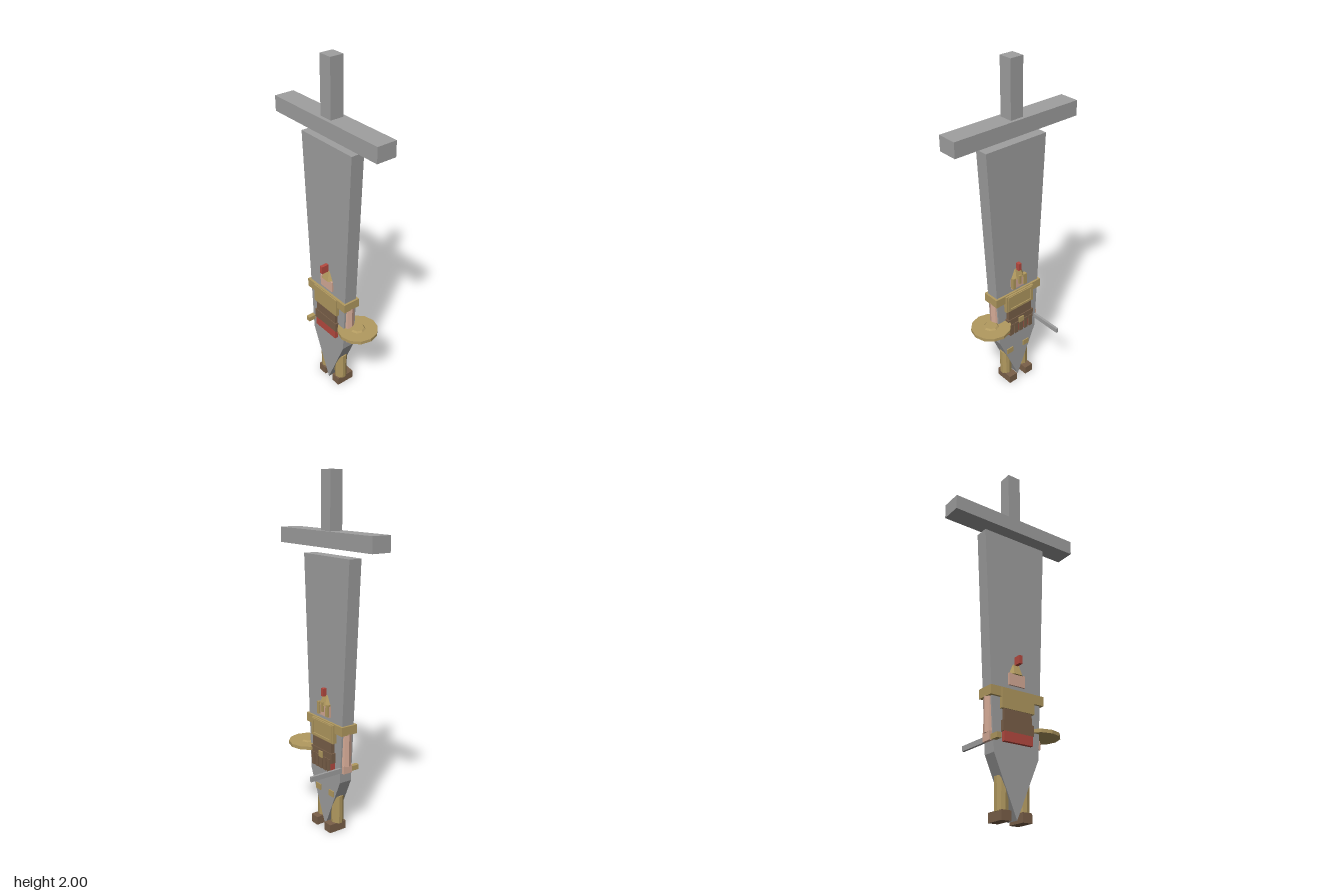
import * as THREE from 'three';

const mat = (name, color) => {
  const m = new THREE.MeshStandardMaterial({ color });
  m.name = name;
  m.flatShading = true;
  return m;
};

export function createModel() {
  const steel = mat('steel', 0xa0a0a0);
  const bronze = mat('bronze', 0xb29a60);
  const leather = mat('leather', 0x7a6049);
  const red = mat('red cloth', 0xb64a40);
  const skin = mat('skin', 0xd6ab97);

  const model = new THREE.Group();
  model.name = 'swordAndSoldier';

  const add = (name, geometry, material, parent = model) => {
    const mesh = new THREE.Mesh(geometry, material);
    mesh.name = name;
    parent.add(mesh);
    return mesh;
  };
  // Box given by its minimum and maximum corners
  const box = (name, material, x0, x1, y0, y1, z0, z1, parent = model) => {
    const mesh = add(name, new THREE.BoxGeometry(x1 - x0, y1 - y0, z1 - z0), material, parent);
    mesh.position.set((x0 + x1) / 2, (y0 + y1) / 2, (z0 + z1) / 2);
    return mesh;
  };
  const tube = (name, material, x, y0, y1, z, rTop, rBottom, sides, parent = model) => {
    const mesh = add(name, new THREE.CylinderGeometry(rTop, rBottom, y1 - y0, sides), material, parent);
    mesh.position.set(x, (y0 + y1) / 2, z);
    return mesh;
  };
  const group = (name) => {
    const g = new THREE.Group();
    g.name = name;
    model.add(g);
    return g;
  };

  // Giant sword standing on its tip
  const sword = group('giantSword');
  const outline = new THREE.Shape([
    [0, 0.01], [0.135, 0.32], [0.2, 1.56], [-0.2, 1.56], [-0.135, 0.32],
  ].map(([x, y]) => new THREE.Vector2(x, y)));
  const blade = add('giantBlade', new THREE.ExtrudeGeometry(outline, { depth: 0.078, bevelEnabled: false }), steel, sword);
  blade.position.z = 0.032;
  box('giantGuard', steel, -0.4, 0.4, 1.605, 1.69, 0.012, 0.128, sword);
  box('giantHandle', steel, -0.04, 0.04, 1.69, 2, 0.03, 0.108, sword);

  // Soldier, facing -z: torso and armour
  const torso = group('torso');
  box('tunic', leather, -0.085, 0.085, 0.43, 0.56, 0.008, 0.126, torso);
  box('breastplate', bronze, -0.1, 0.1, 0.545, 0.652, 0.008, 0.13, torso);
  box('shoulderGuard', bronze, -0.165, 0.165, 0.605, 0.656, 0.02, 0.124, torso);
  // Raised rim of the breastplate
  box('rimTop', bronze, -0.09, 0.09, 0.635, 0.648, 0.002, 0.009, torso);
  box('rimBottom', bronze, -0.09, 0.09, 0.551, 0.564, 0.002, 0.009, torso);
  for (const s of [-1, 1]) {
    const side = box('rimSide', bronze, -0.0065, 0.0065, 0.564, 0.635, 0.002, 0.009, torso);
    side.position.x = s * 0.0835;
  }
  // Belt, buckle and kilt
  box('belt', leather, -0.094, 0.094, 0.428, 0.485, 0.003, 0.13, torso);
  box('buckle', bronze, -0.018, 0.018, 0.44, 0.475, -0.004, 0.003, torso);
  box('kilt', red, -0.088, 0.088, 0.378, 0.43, 0.006, 0.13, torso);
  for (let i = 0; i < 5; i++) {
    const x = -0.072 + i * 0.036;
    box('kiltStrip', leather, x - 0.013, x + 0.013, 0.375, 0.45, -0.002, 0.007, torso);
  }

  // Head and crested helmet
  const head = group('head');
  box('face', skin, -0.05, 0.05, 0.68, 0.745, 0.018, 0.12, head);
  const helmet = tube('helmet', bronze, 0, 0.742, 0.8, 0.07, 0.045, 0.065, 8, head);
  helmet.rotation.y = Math.PI / 8;
  box('noseGuard', bronze, -0.007, 0.007, 0.705, 0.76, 0.006, 0.02, head);
  for (const s of [-1, 1]) {
    const cheek = box('cheekGuard', bronze, -0.01, 0.01, 0.685, 0.755, 0.008, 0.03, head);
    cheek.position.x = s * 0.04;
  }
  box('crest', red, -0.01, 0.01, 0.795, 0.84, 0.008, 0.154, head);

  // Arms and legs on both sides
  for (const s of [-1, 1]) {
    const limbs = group(s > 0 ? 'leftLimbs' : 'rightLimbs');
    tube('arm', skin, s * 0.132, 0.42, 0.61, 0.07, 0.035, 0.033, 8, limbs);
    box('hand', skin, s * 0.132 - 0.025, s * 0.132 + 0.025, 0.378, 0.425, 0.042, 0.1, limbs);
    tube('thigh', skin, s * 0.06, 0.21, 0.4, 0.07, 0.034, 0.032, 8, limbs);
    box('kneeGuard', bronze, s * 0.062 - 0.022, s * 0.062 + 0.022, 0.215, 0.25, 0.026, 0.06, limbs);
    tube('greave', bronze, s * 0.063, 0.05, 0.217, 0.07, 0.037, 0.035, 10, limbs);
    box('foot', leather, s * 0.062 - 0.028, s * 0.062 + 0.028, 0.005, 0.054, 0, 0.11, limbs);
  }

  // Round shield lying flat at the left hand
  const shield = group('shield');
  tube('shieldDisc', bronze, 0.187, 0.455, 0.474, 0.047, 0.115, 0.115, 12, shield);
  tube('shieldBoss', bronze, 0.187, 0.474, 0.482, 0.047, 0.036, 0.045, 8, shield);

  // Short sword held in the right hand, pointing ahead of the soldier
  const shortSword = group('shortSword');
  box('shortBlade', steel, -0.142, -0.128, 0.382, 0.41, -0.165, 0.05, shortSword);
  box('shortHilt', bronze, -0.148, -0.122, 0.38, 0.408, 0.05, 0.154, shortSword);

  return model;
}
